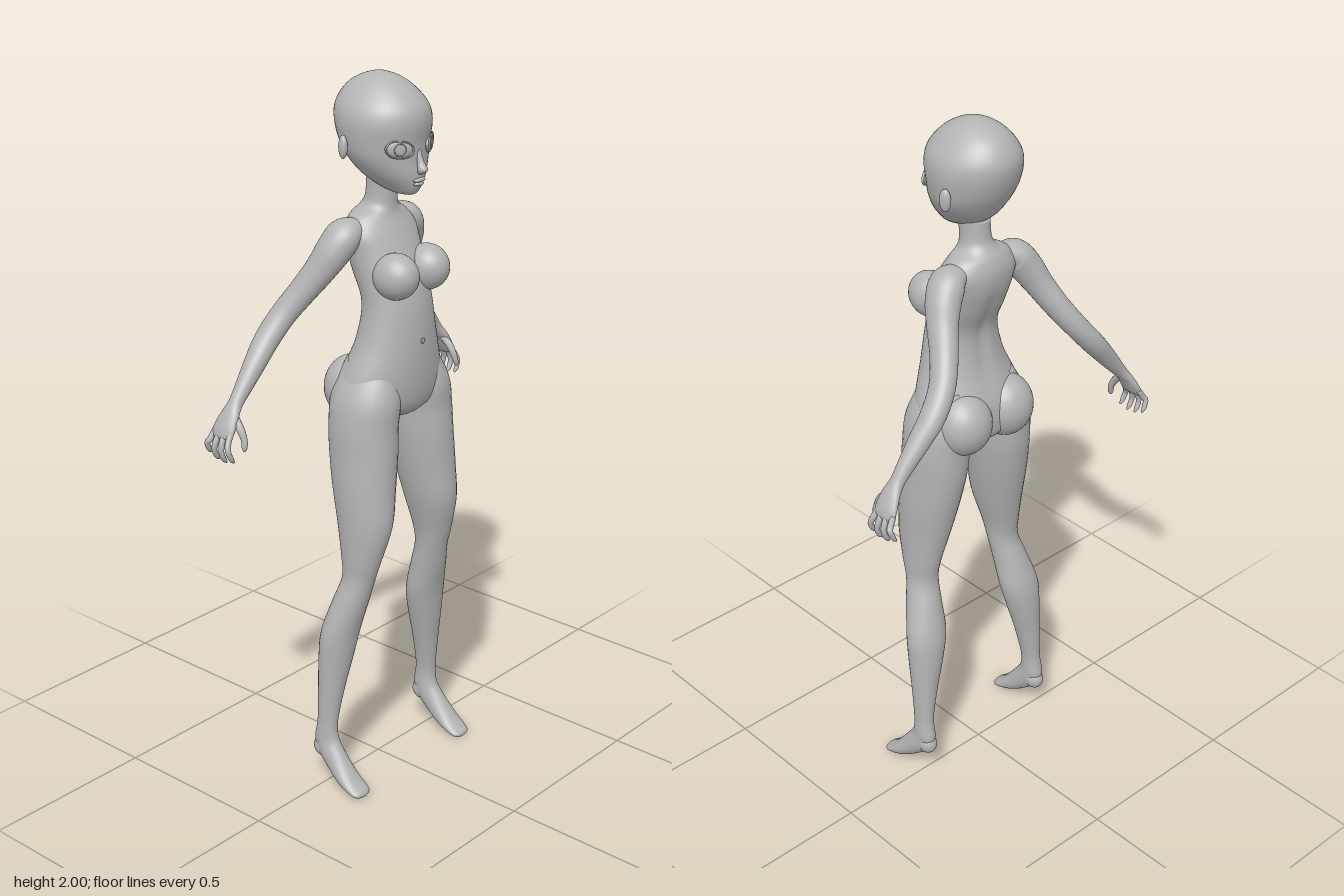
import * as THREE from 'three';

const skin = new THREE.MeshStandardMaterial({ color: 0xb4b4b4 });
skin.name = 'plain grey';
const X = new THREE.Vector3(1, 0, 0), Z = new THREE.Vector3(0, 0, 1);

// Smoothly interpolate rows of numbers
function smoothRows(rows, steps) {
  const out = [];
  const at = i => rows[Math.max(0, Math.min(rows.length - 1, i))];
  for (let i = 0; i < rows.length - 1; i++) {
    for (let s = 0; s < steps; s++) {
      const t = s / steps, [a, b, c, d] = [at(i - 1), at(i), at(i + 1), at(i + 2)];
      out.push(b.map((p, k) => p + 0.5 * t * (c[k] - a[k] + t * (2 * a[k] - 5 * p + 4 * c[k] - d[k]
        + t * (3 * (p - c[k]) + d[k] - a[k])))));
    }
  }
  out.push(rows[rows.length - 1]);
  return out;
}

// Closed skin through elliptical rows [x, y, z, radius along ref, other radius]
function loft(rows, { ref = X, flat = false, seg = 32, steps = 5, shape = () => 1 } = {}) {
  const r = smoothRows(rows, steps), pos = [], index = [];
  const centre = i => new THREE.Vector3(r[i][0], r[i][1], r[i][2]);
  const last = r.length - 1;
  for (let i = 0; i <= last; i++) {
    const t = centre(Math.min(last, i + 1)).sub(centre(Math.max(0, i - 1)));
    if (flat) t.set(0, Math.sign(t.y), 0);
    t.normalize();
    const u = ref.clone().addScaledVector(t, -ref.dot(t)).normalize();
    const v = t.clone().cross(u);
    for (let j = 0; j < seg; j++) {
      const a = j / seg * Math.PI * 2;
      const p = centre(i).addScaledVector(u, Math.cos(a) * r[i][3])
        .addScaledVector(v, Math.sin(a) * r[i][4] * shape(a, r[i][1]));
      pos.push(p.x, p.y, p.z);
      const k = i * seg + j, n = i * seg + (j + 1) % seg;
      if (i < last) index.push(k, n, k + seg, n, n + seg, k + seg);
    }
  }
  const c0 = pos.length / 3;
  pos.push(...centre(0).toArray(), ...centre(last).toArray());
  for (let j = 0; j < seg; j++) {
    const n = (j + 1) % seg;
    index.push(c0, n, j, c0 + 1, last * seg + j, last * seg + n);
  }
  const g = new THREE.BufferGeometry();
  g.setAttribute('position', new THREE.Float32BufferAttribute(pos, 3));
  g.setIndex(index);
  g.computeVertexNormals();
  return g;
}

// Upright rows [y, half width, front z, back z]
const upright = rows => rows.map(([y, w, f, b]) => [0, y, (f + b) / 2, w, (f - b) / 2]);

export function createModel() {
  const model = new THREE.Group();
  const add = (name, geometry, parent = model) => {
    const m = new THREE.Mesh(geometry, skin);
    m.name = name;
    parent.add(m);
    return m;
  };
  const ball = (name, p, s, parent) => {
    const m = add(name, new THREE.SphereGeometry(1, 32, 20), parent);
    m.position.set(...p);
    m.scale.set(...s);
    return m;
  };

  // Head
  add('head', loft(upright([
    [1.693, .012, .115, .07], [1.70, .03, .128, .04], [1.72, .052, .138, -.01],
    [1.75, .08, .142, -.05], [1.79, .106, .139, -.078], [1.83, .117, .141, -.1],
    [1.88, .121, .148, -.115], [1.92, .11, .14, -.114], [1.96, .08, .105, -.09],
    [1.985, .048, .065, -.052], [1.997, .018, .028, -.015], [2, .002, .008, .004],
  ]), { flat: true, seg: 48 }));
  add('nose', loft([[0, 1.815, .132, .008, .008], [0, 1.785, .142, .009, .01],
    [0, 1.766, .15, .013, .015], [0, 1.756, .145, .01, .012], [0, 1.75, .138, .003, .004]], { flat: true, seg: 20 }));
  ball('upperLip', [0, 1.736, .139], [.022, .006, .01]);
  ball('lowerLip', [0, 1.726, .137], [.018, .006, .01]);

  // Neck and torso, with a groove along the spine
  const groove = (a, y) => 1 - .1 * Math.exp(-(((a - Math.PI * 1.5) / .22) ** 2)) * (y < 1.6 && y > 1.2 ? Math.sin((y - 1.2) / .4 * Math.PI) : 0);
  add('torso', loft(upright([
    [1.73, .038, .06, -.03], [1.675, .04, .055, -.034], [1.65, .052, .055, -.048],
    [1.628, .09, .06, -.062], [1.59, .118, .08, -.072], [1.54, .113, .105, -.068],
    [1.48, .108, .13, -.048], [1.40, .105, .15, -.018], [1.30, .125, .157, -.03],
    [1.20, .163, .154, -.065], [1.13, .165, .143, -.07], [1.095, .1, .12, -.055], [1.08, .03, .08, -.01],
  ]), { flat: true, seg: 64, shape: groove }));
  const navel = add('navel', new THREE.TorusGeometry(.007, .002, 8, 20));
  navel.position.set(0, 1.305, .156);

  for (const s of [1, -1]) {
    const side = new THREE.Group();
    side.name = s > 0 ? 'leftSide' : 'rightSide';
    model.add(side);
    const mirror = rows => rows.map(([x, ...rest]) => [s * x, ...rest]);
    const limb = (name, rows, options) => add(name, loft(mirror(rows), options), side);

    // Ear and eye
    ball('ear', [s * .123, 1.82, -.012], [.011, .031, .016], side).rotation.y = s * .4;
    const eye = new THREE.Group();
    eye.name = 'eye';
    eye.position.set(s * .058, 1.822, .121);
    eye.rotation.set(0, s * .5, s * .14);
    side.add(eye);
    ball('eyeball', [0, 0, 0], [.037, .023, .009], eye);
    const lid = add('eyelid', new THREE.TorusGeometry(1, .07, 8, 40), eye);
    lid.scale.set(.038, .023, .05);
    lid.position.z = .003;
    const iris = add('iris', new THREE.TorusGeometry(.016, .0015, 8, 28), eye);
    iris.position.z = .008;

    // Chest and seat
    ball('chest', [s * .062, 1.487, .115], [.056, .062, .066], side).rotation.x = -.25;
    ball('buttock', [s * .076, 1.155, -.022], [.08, .09, .08], side);

    // Leg, foot and heel
    limb('leg', [
      [.085, 1.25, .045, .05, .07], [.1, 1.16, .045, .083, .1], [.112, 1.08, .046, .086, .1],
      [.117, 1.0, .05, .083, .1], [.127, .9, .06, .076, .093], [.137, .8, .072, .064, .083],
      [.15, .7, .071, .049, .06], [.155, .64, .065, .044, .048], [.167, .57, .046, .051, .05],
      [.181, .48, .022, .061, .05], [.192, .4, .013, .052, .047], [.205, .3, .006, .037, .038],
      [.215, .2, 0, .026, .031], [.217, .14, -.004, .027, .036], [.217, .11, -.004, .02, .028],
    ], { flat: true });
    limb('foot', [
      [.216, .18, 0, .024, .028], [.217, .125, .004, .028, .038], [.219, .08, .04, .031, .034],
      [.221, .042, .082, .035, .025], [.221, .02, .12, .034, .014], [.221, .013, .137, .026, .01],
      [.221, .011, .144, .008, .003],
    ]);
    ball('heel', [s * .217, .112, -.014], [.026, .032, .031], side);

    // Arm and palm
    limb('arm', [
      [.07, 1.605, -.01, .03, .02], [.115, 1.59, -.012, .05, .042], [.145, 1.55, -.026, .05, .044],
      [.17, 1.5, -.05, .044, .038], [.2, 1.438, -.088, .039, .034], [.238, 1.377, -.122, .037, .032],
      [.285, 1.317, -.138, .036, .031], [.33, 1.265, -.138, .031, .028], [.375, 1.212, -.137, .024, .023],
      [.407, 1.174, -.137, .021, .018], [.43, 1.145, -.137, .03, .015], [.449, 1.112, -.14, .037, .014],
      [.458, 1.092, -.142, .034, .01], [.461, 1.086, -.142, .015, .004],
    ], { ref: Z });

    // Fingers fan out and curl inward
    for (let f = 0; f < 4; f++) {
      const z = -.114 - f * .019, fan = (1.5 - f) * .007, drop = [.006, 0, .003, .015][f];
      limb('finger', [
        [.452, 1.105, z, .008, .008], [.467, 1.08, z + fan * .4, .0085, .0085],
        [.472, 1.055 + drop, z + fan, .0075, .0075], [.463, 1.033 + drop, z + fan * 1.2, .0065, .0065],
        [.454, 1.023 + drop, z + fan * 1.2, .002, .002],
      ], { ref: Z, seg: 12 });
    }
    limb('thumb', [
      [.425, 1.145, -.125, .01, .01], [.431, 1.118, -.1, .011, .011], [.432, 1.092, -.085, .009, .009],
      [.436, 1.07, -.08, .0075, .0075], [.438, 1.06, -.08, .002, .002],
    ], { seg: 12 });
  }
  return model;
}
